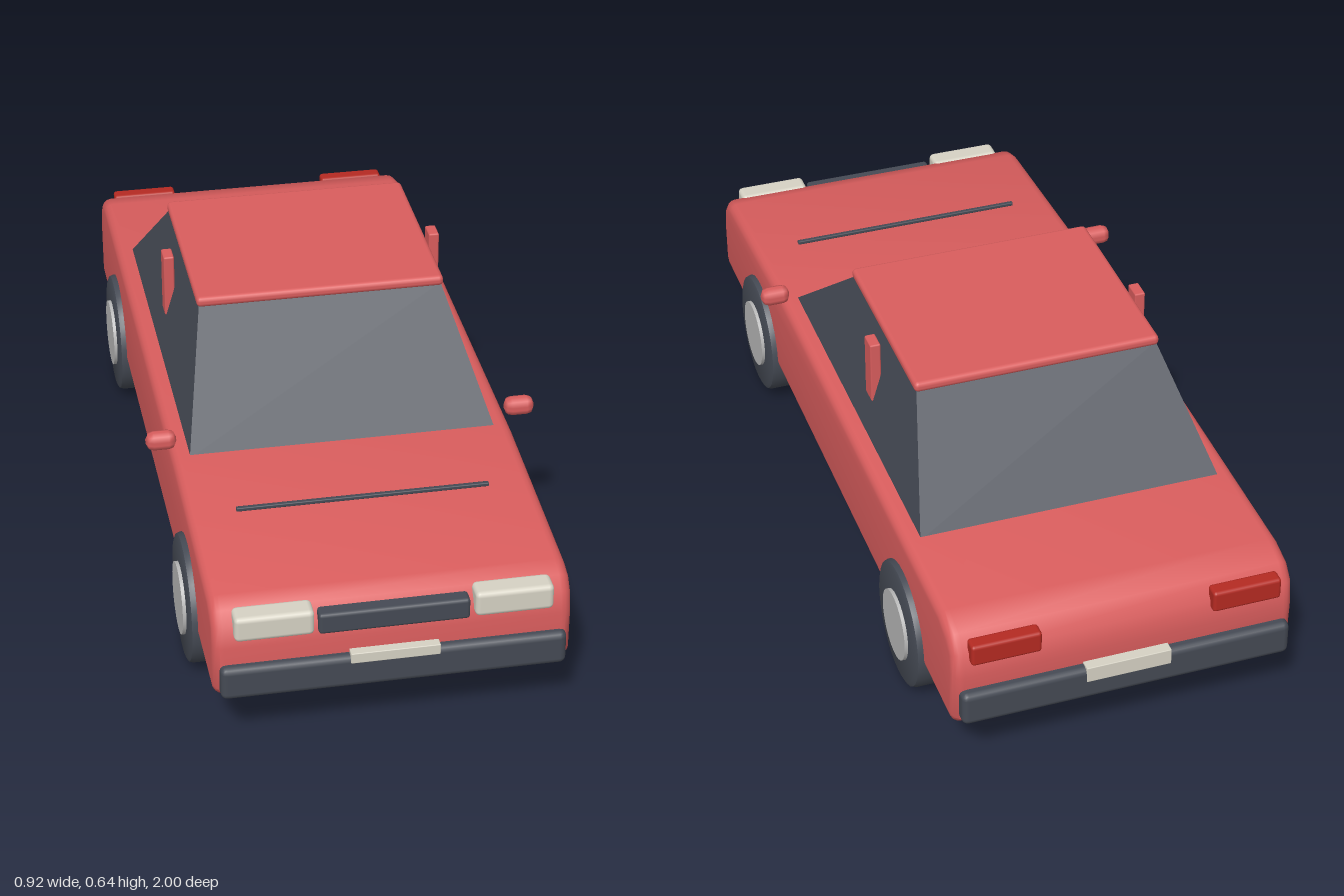
import * as THREE from 'three';
import { toCreasedNormals } from 'three/addons/utils/BufferGeometryUtils.js';
import { RoundedBoxGeometry } from 'three/addons/geometries/RoundedBoxGeometry.js';

const paint = (name, color) => {
  const m = new THREE.MeshStandardMaterial({ color });
  m.name = name;
  return m;
};

export function createModel() {
  const car = new THREE.Group();
  car.name = 'car';
  const red = paint('bodyRed', 0xd95d5d);
  const dark = paint('darkGrey', 0x454a54);
  const cream = paint('lampCream', 0xd6d2c4);
  const grey = paint('hubGrey', 0xb8b8b8);
  const tailRed = paint('tailLampRed', 0xb52a22);

  const add = (name, geometry, material, x = 0, y = 0, z = 0) => {
    const mesh = new THREE.Mesh(geometry, material);
    mesh.name = name;
    mesh.position.set(x, y, z);
    car.add(mesh);
    return mesh;
  };
  // Softened box given by its extents
  const block = (name, material, [x0, x1], [y0, y1], [z0, z1], r, seg = 2) =>
    add(name, new RoundedBoxGeometry(x1 - x0, y1 - y0, z1 - z0, seg, r), material,
      (x0 + x1) / 2, (y0 + y1) / 2, (z0 + z1) / 2);

  // Lower body: side profile (z, y) extruded across the width, with rounded edges
  const profile = [
    [-0.95, 0.136], [0.955, 0.136], [0.976, 0.158], [0.979, 0.27], [0.967, 0.318],
    [0.943, 0.348], [0.9, 0.361], [0.4, 0.393], [-0.87, 0.393], [-0.935, 0.376],
    [-0.968, 0.34], [-0.976, 0.28], [-0.97, 0.158],
  ];
  const bevel = 0.025;
  const bodyGeometry = new THREE.ExtrudeGeometry(
    new THREE.Shape(profile.map(([z, y]) => new THREE.Vector2(z, y))), {
      depth: 0.8 - 2 * bevel, bevelEnabled: true, bevelThickness: bevel,
      bevelSize: bevel, bevelOffset: -bevel, bevelSegments: 4,
    });
  bodyGeometry.translate(0, 0, -(0.4 - bevel)).rotateY(-Math.PI / 2);
  add('body', toCreasedNormals(bodyGeometry, 0.7), red);

  // Glasshouse: box tapered towards the roof
  const cabin = new THREE.BoxGeometry(1, 1, 1);
  const p = cabin.attributes.position;
  for (let i = 0; i < p.count; i++) {
    const top = p.getY(i) > 0, front = p.getZ(i) > 0;
    const x = Math.sign(p.getX(i)) * (top ? 0.29 : 0.36);
    const z = top ? (front ? 0.1 : -0.38) : (front ? 0.392 : -0.62);
    p.setXYZ(i, x, top ? 0.625 : 0.388, z);
  }
  cabin.computeVertexNormals();
  add('cabinGlass', cabin, dark);
  block('roof', red, [-0.296, 0.296], [0.619, 0.645], [-0.39, 0.11], 0.011);

  // Bonnet line
  block('bonnetLine', dark, [-0.29, 0.29], [0.388, 0.397], [0.62, 0.631], 0.002, 1);

  // Nose and tail
  block('grille', dark, [-0.168, 0.168], [0.285, 0.337], [0.94, 0.985], 0.008);
  block('frontBumper', dark, [-0.386, 0.386], [0.145, 0.227], [0.95, 0.999], 0.015);
  block('rearBumper', dark, [-0.386, 0.386], [0.16, 0.245], [-0.999, -0.95], 0.015);
  block('frontPlate', cream, [-0.1, 0.1], [0.21, 0.236], [0.975, 1], 0.002, 1);
  block('rearPlate', cream, [-0.1, 0.1], [0.21, 0.25], [-1, -0.97], 0.002, 1);

  // Tyre section (radius, across), spun around the axle
  const tyre = new THREE.LatheGeometry(
    [[0, -0.056], [0.138, -0.056], [0.147, -0.052], [0.15, -0.043],
      [0.15, 0.043], [0.147, 0.052], [0.138, 0.056], [0, 0.056]]
      .map(([r, a]) => new THREE.Vector2(r, a)), 32);
  const tyreGeometry = toCreasedNormals(tyre.rotateZ(-Math.PI / 2), 0.6);
  const hubGeometry = new THREE.CylinderGeometry(0.084, 0.084, 0.02, 32).rotateZ(Math.PI / 2);

  // Mirrored parts
  for (const [side, s] of [['left', 1], ['right', -1]]) {
    const span = (a, b) => (s > 0 ? [a, b] : [-b, -a]);
    block(side + 'Headlight', cream, span(0.178, 0.354), [0.291, 0.353], [0.935, 0.992], 0.012);
    block(side + 'TailLight', tailRed, span(0.2, 0.362), [0.318, 0.372], [-0.988, -0.95], 0.008);
    block(side + 'Pillar', red, span(0.314, 0.34), [0.465, 0.624], [-0.186, -0.138], 0.004, 1);
    block(side + 'Mirror', red, span(0.387, 0.458), [0.406, 0.45], [0.343, 0.385], 0.018, 1);
    for (const [end, z] of [['Front', 0.605], ['Rear', -0.613]]) {
      add(side + end + 'Tyre', tyreGeometry, dark, s * 0.361, 0.153, z);
      add(side + end + 'Hub', hubGeometry, grey, s * 0.415, 0.153, z);
    }
  }
  return car;
}
